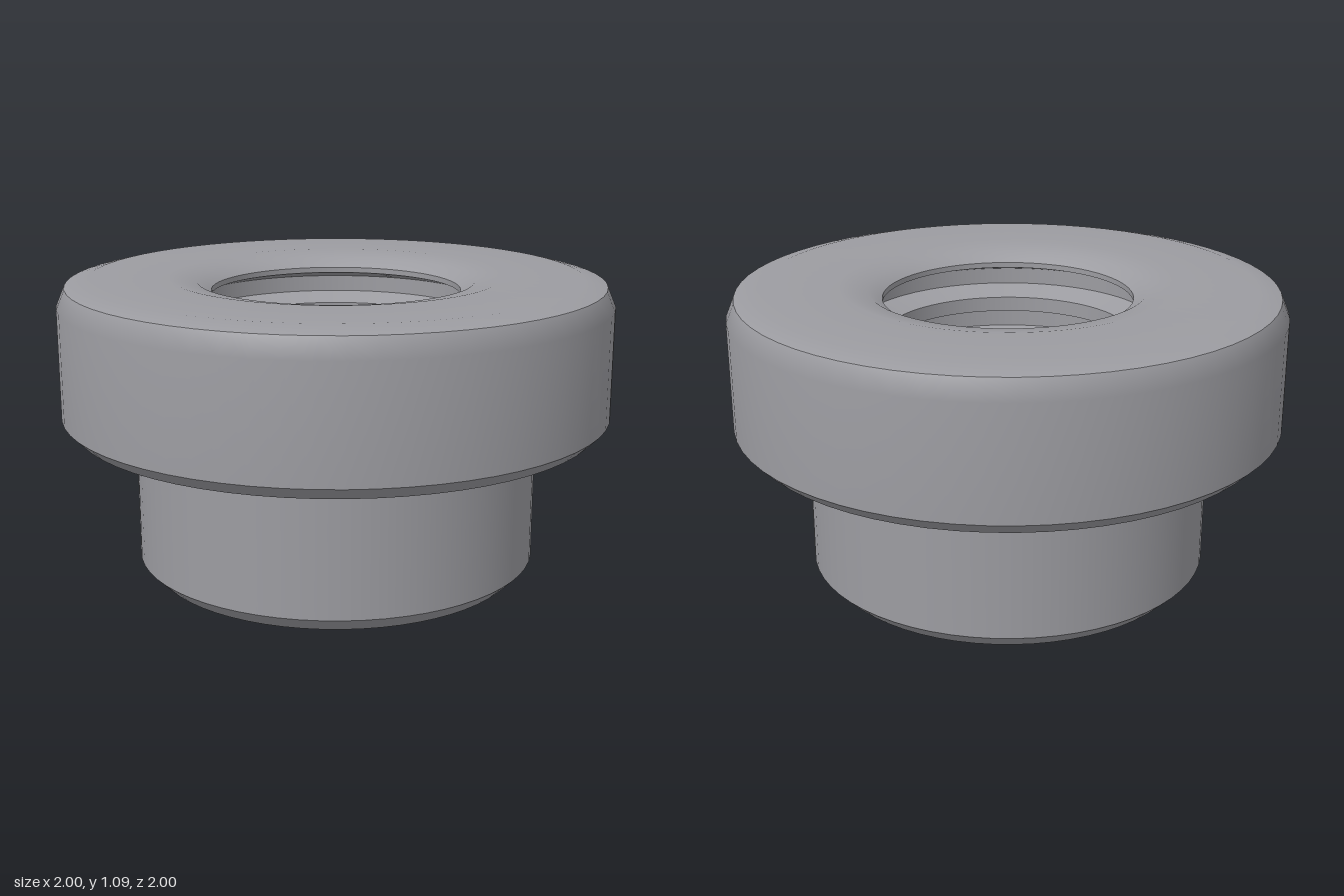
import * as THREE from 'three';

const SEGMENTS = 64;

export function createModel() {
  const steel = new THREE.MeshStandardMaterial({ color: 0x9c9ca1 });
  steel.name = 'steel grey';
  const model = new THREE.Group();
  model.name = 'threadedBushing';

  // Each run of [radius, y] points is one smooth band; edges between bands stay sharp
  const addBand = (name, points, parent = model) => {
    const profile = points.map(([r, y]) => new THREE.Vector2(r, y));
    const mesh = new THREE.Mesh(new THREE.LatheGeometry(profile, SEGMENTS), steel);
    mesh.name = name;
    parent.add(mesh);
  };

  // Narrow lower sleeve
  addBand('sleeveBase', [[0.45, 0], [0.68, 0]]);
  addBand('sleeveChamfer', [[0.68, 0], [0.735, 0.055]]);
  addBand('sleeveWall', [[0.735, 0.055], [0.735, 0.555]]);

  // Wide collar with a rounded shoulder and a dip into the bore
  addBand('collarUnderside', [[0.735, 0.555], [0.955, 0.555]]);
  addBand('collarChamfer', [[0.955, 0.555], [1, 0.6]]);
  addBand('collarWall', [[1, 0.6], [1, 1], [0.97, 1.07]]);
  addBand('collarTop', [[0.97, 1.07], [0.89, 1.09], [0.6, 1.09], [0.5, 1.072], [0.45, 1.04]]);

  // Bore with six ring grooves, built downwards so the faces look inwards
  const bore = new THREE.Group();
  bore.name = 'threadedBore';
  model.add(bore);
  const crest = 0.45, root = 0.55, pitch = 0.175, grooves = 6;
  let y = 1.04;
  for (let i = 0; i < grooves; i++) {
    const top = 1.02 - i * pitch;
    addBand('threadCrest', [[crest, y], [crest, top]], bore);
    addBand('threadUpperFlank', [[crest, top], [root, top - 0.03]], bore);
    addBand('threadRoot', [[root, top - 0.03], [root, top - 0.09]], bore);
    addBand('threadLowerFlank', [[root, top - 0.09], [crest, top - 0.12]], bore);
    y = top - 0.12;
  }
  addBand('threadCrest', [[crest, y], [crest, 0]], bore);

  return model;
}
